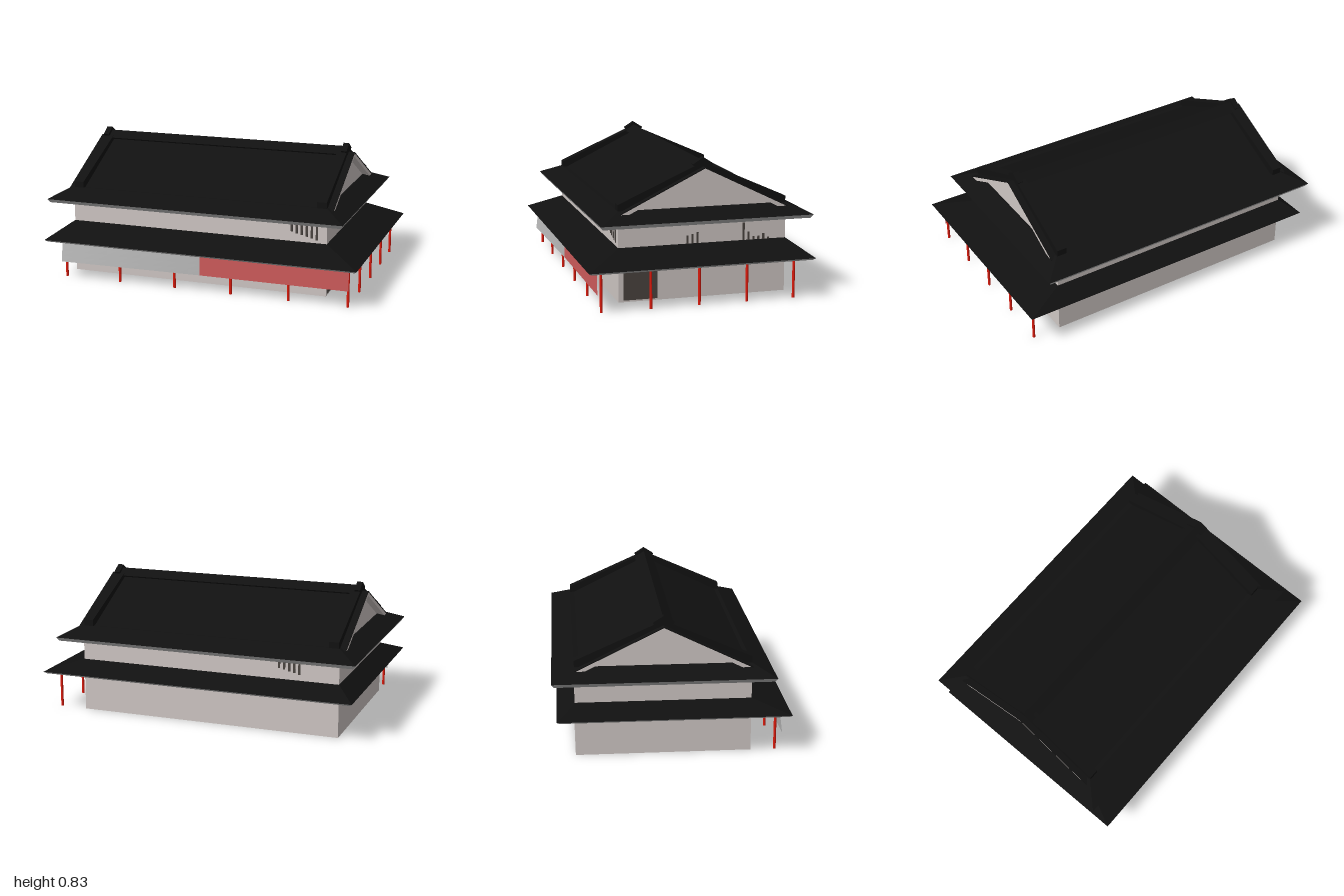
import * as THREE from 'three';

const CX = -0.055, CZ = -0.0475; // middle of the hall, which sits off-centre under its porch
const WALL = { x0: -0.875, x1: 0.765, z0: -0.56, z1: 0.465 };

const mat = (color, side = THREE.FrontSide) =>
  new THREE.MeshStandardMaterial({ color, side, flatShading: true });
const black = mat(0x111111), plaster = mat(0xcfc7c4), grey = mat(0xb0b0b0);
const red = mat(0xdd1a0c), dark = mat(0x4a4440);

export function createModel() {
  const model = new THREE.Group();

  const add = (name, geometry, material) => {
    const mesh = new THREE.Mesh(geometry, material);
    mesh.name = name;
    model.add(mesh);
    return mesh;
  };

  const box = (name, x0, x1, y0, y1, z0, z1, material) =>
    add(name, new THREE.BoxGeometry(x1 - x0, y1 - y0, z1 - z0)
      .translate((x0 + x1) / 2, (y0 + y1) / 2, (z0 + z1) / 2), material);

  // Box whose bottom and top follow two different rectangles
  const frustum = (name, low, y0, high, y1, material) => {
    const g = new THREE.BoxGeometry(1, 1, 1);
    const p = g.attributes.position;
    for (let i = 0; i < p.count; i++) {
      const top = p.getY(i) > 0, r = top ? high : low;
      p.setXYZ(i, p.getX(i) > 0 ? r.x1 : r.x0, top ? y1 : y0, p.getZ(i) > 0 ? r.z1 : r.z0);
    }
    g.computeVertexNormals();
    return add(name, g, material);
  };

  // Outline in (z, y) carried along x
  const prism = (name, points, x0, x1, material) => {
    const shape = new THREE.Shape(points.map(([z, y]) => new THREE.Vector2(z, y)));
    const g = new THREE.ExtrudeGeometry(shape, { depth: x1 - x0, bevelEnabled: false });
    return add(name, g.rotateY(-Math.PI / 2).translate(x1, 0, 0), material);
  };

  // Inverted V band between two pitched lines
  const chevron = (half, eaveLow, eaveHigh, apexLow, apexHigh) => [
    [CZ - half, eaveLow], [CZ, apexLow], [CZ + half, eaveLow],
    [CZ + half, eaveHigh], [CZ, apexHigh], [CZ - half, eaveHigh]];

  // Walls
  box('walls', WALL.x0, WALL.x1, 0, 0.47, WALL.z0, WALL.z1, plaster);
  box('sideDoor', WALL.x1 - 0.01, WALL.x1 + 0.002, 0.01, 0.235, 0.23, 0.435, dark);

  // Skirt roofs, each with a grey tapered edge board
  const inset = (r, d) => ({ x0: r.x0 + d, x1: r.x1 - d, z0: r.z0 + d, z1: r.z1 - d });
  const skirt = (name, eave, y, drop, topY) => {
    frustum(name, eave, y, WALL, topY, black);
    frustum(name + 'EdgeBoard', inset(eave, 0.015), y - drop, eave, y, grey);
  };
  skirt('lowerRoof', { x0: -0.98, x1: 1, z0: -0.665, z1: 0.69 }, 0.245, 0.012, 0.325);
  skirt('upperRoof', { x0: -1, x1: 0.89, z0: -0.69, z1: 0.595 }, 0.482, 0.022, 0.54);

  // Gable roof with pale bargeboards and recessed gable walls
  prism('gableWall', [[CZ - 0.47, 0.53], [CZ + 0.47, 0.53], [CZ, 0.757]], WALL.x0 + 0.01, WALL.x1 - 0.01, plaster);
  prism('bargeboards', chevron(0.5125, 0.495, 0.522, 0.748, 0.773), -0.908, 0.798, plaster);
  prism('gableRoof', chevron(0.5125, 0.521, 0.527, 0.772, 0.778), -0.91, 0.8, black);

  // Ridge, its end caps and the ridges running down the slopes
  const ridge = (top) => [[CZ - 0.03, 0.755], [CZ + 0.03, 0.755],
    [CZ + 0.063, top - 0.04], [CZ, top], [CZ - 0.063, top - 0.04]];
  prism('mainRidge', ridge(0.812), -0.84, 0.73, black);
  for (const s of [-1, 1]) {
    const span = (a, b) => (s > 0 ? [CX + a, CX + b] : [CX - b, CX - a]);
    prism('ridgeEndCap', ridge(0.832), ...span(0.782, 0.817), black);
    prism('slopeRidge', chevron(0.5125, 0.522, 0.577, 0.773, 0.805), ...span(0.755, 0.815), black);
  }

  // Porch columns along the front and the left side
  const column = (x, z) =>
    add('column', new THREE.CylinderGeometry(0.008, 0.008, 0.235, 12).translate(x, 0.1175, z), red);
  for (let i = 0; i < 6; i++) column(-0.87 + i * 0.361, 0.608);
  for (const z of [0.317, 0.027, -0.262, -0.552]) column(0.935, z);

  // Hanging cloths under the front eave; the grey one swings out at its free end
  const cloth = (name, x0, x1, swing, color) => {
    const g = new THREE.PlaneGeometry(x1 - x0, 0.135, 12, 4).translate((x0 + x1) / 2, 0.1715, 0.631);
    const p = g.attributes.position;
    for (let i = 0; i < p.count; i++) {
      const out = (x1 - p.getX(i)) / (x1 - x0), down = (0.239 - p.getY(i)) / 0.135;
      p.setZ(i, 0.631 + swing * out * down);
    }
    g.computeVertexNormals();
    add(name, g, mat(color, THREE.DoubleSide));
  };
  cloth('greyCloth', -0.885, 0.025, 0.018, 0xbbbbbb);
  cloth('redCloth', 0.025, 0.942, 0, 0xd05c5c);

  // Window slits: rows on the front, back and side walls
  const slits = (face, start, step, tops, bottoms) => tops.forEach((top, i) => {
    const a = start + i * step, b = a + 0.013;
    if (face === 'front') box('windowSlit', a, b, bottoms[i], top, WALL.z1 - 0.01, WALL.z1 + 0.002, dark);
    if (face === 'back') box('windowSlit', a, b, bottoms[i], top, WALL.z0 - 0.002, WALL.z0 + 0.01, dark);
    if (face === 'side') box('windowSlit', WALL.x1 - 0.01, WALL.x1 + 0.002, bottoms[i], top, a, b, dark);
  });
  slits('front', 0.542, 0.031, Array(6).fill(0.462), [0.385, 0.375, 0.368, 0.36, 0.352, 0.344]);
  slits('front', 0.275, 0.031, Array(4).fill(0.462), [0.454, 0.447, 0.44, 0.433]);
  slits('back', -0.64, 0.031, Array(5).fill(0.455), [0.36, 0.37, 0.375, 0.385, 0.39]);
  slits('side', -0.02, 0.031, [0.39, 0.382, 0.374], Array(3).fill(0.32));
  slits('side', -0.46, 0.031, [0.335, 0.36, 0.345, 0.345, 0.375, 0.43], Array(6).fill(0.32));

  return model;
}
